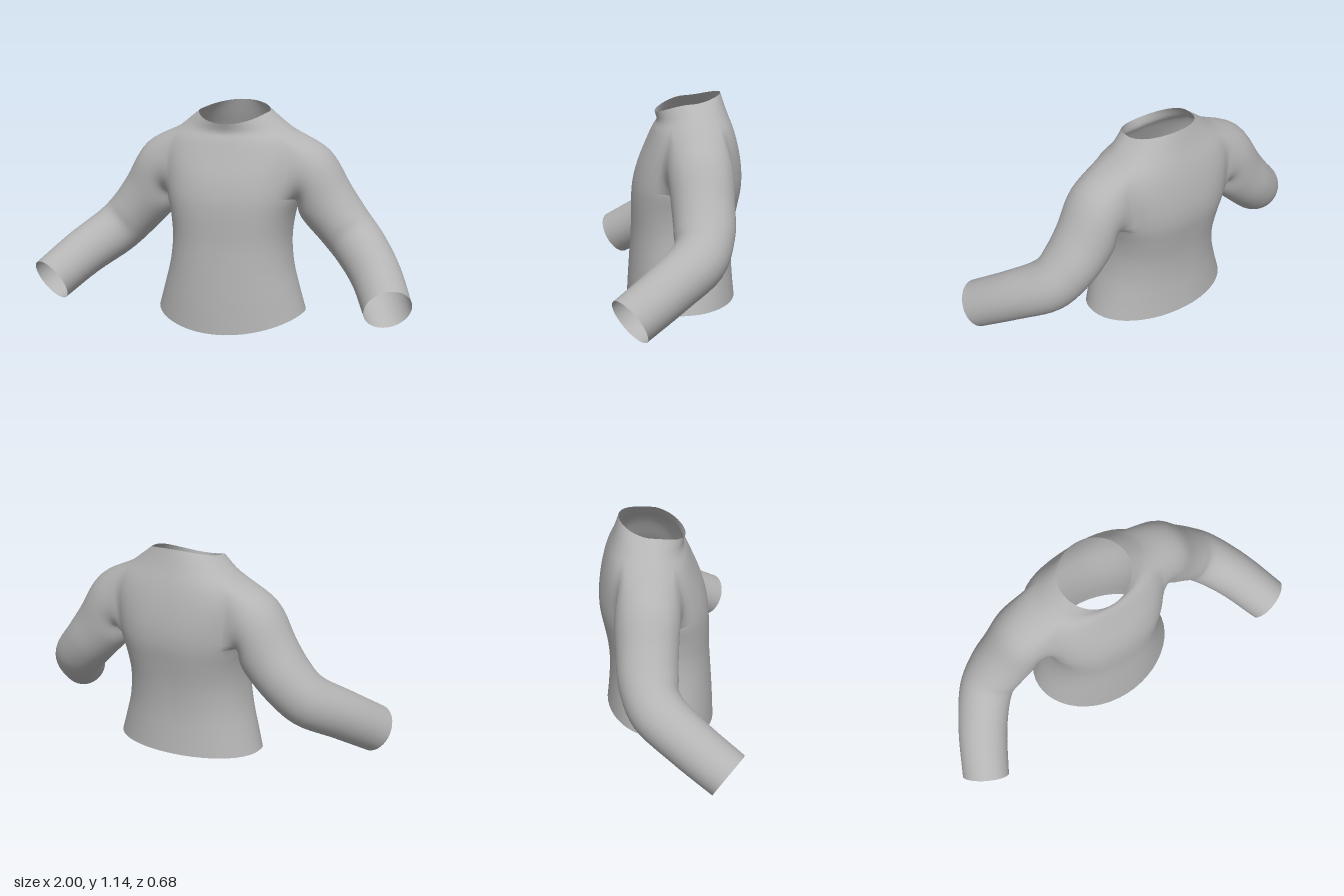
import * as THREE from 'three';
import { mergeGeometries, mergeVertices } from 'three/addons/utils/BufferGeometryUtils.js';

const COLS = 24, STEP = 3;                 // half-torso columns, rows between key rings
const HOLE = { i0: 15, i1: 26, j0: 7, j1: 17 }; // armhole cells in the torso grid

// torso rings: y front, y side, y back, half width, z front, z back, roundness
const torsoKeys = [
  [0.00, 0.085, 0.10, 0.39, 0.245, -0.31, 1.0],
  [0.15, 0.20, 0.20, 0.355, 0.238, -0.30, 0.95],
  [0.30, 0.32, 0.32, 0.322, 0.228, -0.293, 0.9],
  [0.45, 0.45, 0.45, 0.306, 0.218, -0.30, 0.85],
  [0.58, 0.57, 0.57, 0.315, 0.216, -0.32, 0.8],
  [0.68, 0.67, 0.67, 0.34, 0.208, -0.338, 0.8],
  [0.78, 0.78, 0.77, 0.355, 0.182, -0.338, 0.8],
  [0.88, 0.89, 0.88, 0.365, 0.14, -0.32, 0.8],
  [0.96, 0.97, 0.97, 0.345, 0.105, -0.295, 0.85],
  [1.00, 1.035, 1.05, 0.27, 0.085, -0.265, 0.95],
  [1.045, 1.10, 1.14, 0.185, 0.095, -0.235, 1.0],
];

// sleeve rings: centre x, y, z, radius across, radius front to back
const sleeveKeys = [
  [0.25, 0.78, -0.10, 0, 0],
  [0.41, 0.78, -0.10, 0.155, 0.158],
  [0.48, 0.65, -0.105, 0.15, 0.152],
  [0.58, 0.53, -0.10, 0.138, 0.145],
  [0.675, 0.432, -0.06, 0.133, 0.135],
  [0.79, 0.332, 0.085, 0.125, 0.125],
  [0.893, 0.215, 0.265, 0.118, 0.12],
];

const spline = pts => new THREE.CatmullRomCurve3(pts, false, 'catmullrom', 0.5);
const power = (v, e) => Math.sign(v) * Math.pow(Math.abs(v), e);

function torsoPoint([yf, ys, yb, w, zf, zb, e], angle) {
  const s = Math.sin(angle), c = Math.cos(angle);
  return new THREE.Vector3(
    w * power(c, e),
    ys + ((s > 0 ? yf : yb) - ys) * Math.pow(Math.abs(s), 1.6),
    (zf + zb) / 2 + (zf - zb) / 2 * power(s, e));
}

// one point on a sleeve ring, in the plane across the arm
function sleevePoint(k, theta) {
  const centre = n => new THREE.Vector3(...sleeveKeys[n].slice(0, 3));
  const last = sleeveKeys.length - 1;
  const t = centre(Math.min(k + 1, last)).sub(centre(k - 1)).normalize();
  const v = new THREE.Vector3(0, 0, 1).addScaledVector(t, -t.z).normalize();
  const u = v.clone().cross(t);
  return centre(k)
    .addScaledVector(u, sleeveKeys[k][3] * Math.sin(theta))
    .addScaledVector(v, sleeveKeys[k][4] * Math.cos(theta));
}

// surface over columns of points, skipping cells where skip(i, j) is true
function skin(columns, skip = () => false) {
  const rows = columns[0].length, pos = [], index = [];
  columns.forEach(col => col.forEach(p => pos.push(p.x, p.y, p.z)));
  for (let j = 0; j < columns.length - 1; j++) {
    for (let i = 0; i < rows - 1; i++) {
      if (skip(i, j)) continue;
      const a = j * rows + i, b = a + rows;
      index.push(a, a + 1, b, b, a + 1, b + 1);
    }
  }
  const g = new THREE.BufferGeometry();
  g.setAttribute('position', new THREE.Float32BufferAttribute(pos, 3));
  g.setIndex(index);
  return g;
}

function mirrorX(geometry) {
  const g = geometry.clone().scale(-1, 1, 1);
  const idx = g.index.array;
  for (let i = 0; i < idx.length; i += 3) [idx[i], idx[i + 1]] = [idx[i + 1], idx[i]];
  return g;
}

function halfSweater() {
  // half torso, from the middle of the back round to the middle of the front
  const torso = [];
  for (let j = 0; j <= COLS; j++) {
    const angle = (j / COLS - 0.5) * Math.PI;
    torso.push(spline(torsoKeys.map(k => torsoPoint(k, angle)))
      .getPoints((torsoKeys.length - 1) * STEP));
  }
  const { i0, i1, j0, j1 } = HOLE;
  const body = skin(torso, (i, j) => i >= i0 && i < i1 && j >= j0 && j < j1);

  // armhole edge, walked up the front, over the shoulder and down the back
  const edge = [];
  for (let i = i0; i < i1; i++) edge.push([i, j1]);
  for (let j = j1; j > j0; j--) edge.push([i1, j]);
  for (let i = i1; i > i0; i--) edge.push([i, j0]);
  for (let j = j0; j <= j1; j++) edge.push([i0, j]);

  // sleeve grown from the armhole edge down to the cuff
  const sleeve = edge.map(([i, j]) => {
    const theta = Math.atan2((i - (i0 + i1) / 2) / (i1 - i0), (j - (j0 + j1) / 2) / (j1 - j0));
    const pts = [torso[j][i]];
    for (let k = 1; k < sleeveKeys.length; k++) pts.push(sleevePoint(k, theta));
    return spline(pts).getPoints((sleeveKeys.length - 1) * 5);
  });
  return mergeGeometries([body, skin(sleeve)]);
}

export function createModel() {
  const cloth = new THREE.MeshStandardMaterial({ color: 0xb4b4b4, side: THREE.DoubleSide });
  cloth.name = 'grey cloth';

  // both halves welded into one smooth open garment
  const half = halfSweater();
  const geometry = mergeVertices(mergeGeometries([half, mirrorX(half)]), 1e-4);
  geometry.computeVertexNormals();

  const sweater = new THREE.Mesh(geometry, cloth);
  sweater.name = 'sweaterBodyAndSleeves';
  const model = new THREE.Group();
  model.name = 'sweater';
  model.add(sweater);
  return model;
}
